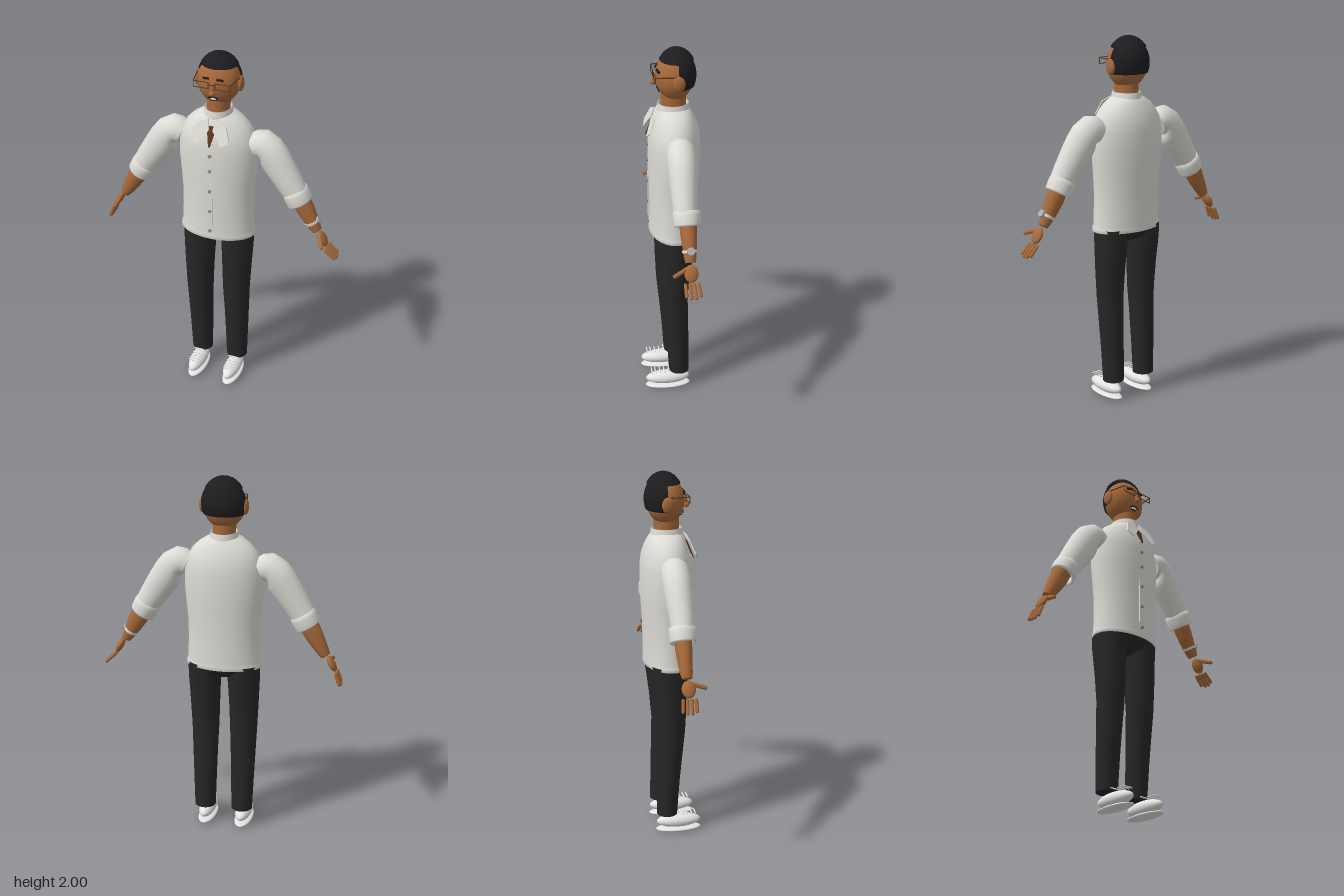
import * as THREE from 'three';

const mat = (name, color, side = THREE.FrontSide) => {
  const m = new THREE.MeshStandardMaterial({ color, side });
  m.name = name;
  return m;
};

export function createModel() {
  const shirt = mat('shirt white', 0xdddbd5, THREE.DoubleSide);
  const skin = mat('skin', 0xa5683a);
  const trousers = mat('trouser black', 0x262627);
  const hair = mat('hair black', 0x1d1d20, THREE.DoubleSide);
  const shoe = mat('shoe white', 0xe4e4e2);
  const frame = mat('glasses brown', 0x5a3418);
  const chest = mat('neck opening brown', 0x5c361c);
  const grey = mat('metal grey', 0xa9adb2);
  const button = mat('button grey', 0x8f8d88);
  const teeth = mat('teeth white', 0xf2efe8);

  const model = new THREE.Group();
  model.name = 'man';
  model.position.x = -0.016;

  const add = (name, geometry, material, x = 0, y = 0, z = 0, parent = model) => {
    const m = new THREE.Mesh(geometry, material);
    m.name = name;
    m.position.set(x, y, z);
    parent.add(m);
    return m;
  };
  const ball = (name, material, x, y, z, rx, ry, rz) => {
    const m = add(name, new THREE.SphereGeometry(1, 32, 20), material, x, y, z);
    m.scale.set(rx, ry, rz);
    return m;
  };
  const box = (name, material, x, y, z, w, h, d) => add(name, new THREE.BoxGeometry(w, h, d), material, x, y, z);

  // Rounded stick between two points
  const stick = (name, material, a, b, r) => {
    const p = new THREE.Vector3(...a), q = new THREE.Vector3(...b);
    const d = q.clone().sub(p);
    const m = add(name, new THREE.CapsuleGeometry(r, d.length(), 4, 10), material);
    m.position.copy(p).add(q).multiplyScalar(0.5);
    m.quaternion.setFromUnitVectors(new THREE.Vector3(0, 1, 0), d.normalize());
    return m;
  };

  // Skin over elliptical rings [x, y, z, radius in xy, radius in z, heading in degrees]
  function loft(rings, capStart, capEnd, seg = 36) {
    const list = rings.slice();
    const point = r => [r[0], r[1], r[2], 0, 0, r[5]];
    if (capStart) list.unshift(point(rings[0]), rings[0]);
    if (capEnd) list.push(rings.at(-1), point(rings.at(-1)));
    const pos = [], idx = [];
    list.forEach(([x, y, z, ru, rv, deg = 90], i) => {
      const a = deg * Math.PI / 180;
      for (let j = 0; j < seg; j++) {
        const t = j / seg * Math.PI * 2, u = ru * Math.cos(t);
        pos.push(x + Math.sin(a) * u, y - Math.cos(a) * u, z + rv * Math.sin(t));
        if (i < list.length - 1) {
          const p = i * seg + j, q = i * seg + (j + 1) % seg;
          idx.push(p, p + seg, q, q, p + seg, q + seg);
        }
      }
    });
    const g = new THREE.BufferGeometry();
    g.setAttribute('position', new THREE.Float32BufferAttribute(pos, 3));
    g.setIndex(idx);
    g.computeVertexNormals();
    return g;
  }
  const column = rows => rows.map(([y, z, rx, rz]) => [0, y, z, rx, rz, 90]);

  // Shirt body, collar band and neck
  add('shirtBody', loft(column([
    [0.965, -0.014, 0.2, 0.124], [0.965, -0.014, 0.208, 0.13], [0.985, -0.014, 0.206, 0.13],
    [1.0, -0.014, 0.2, 0.128], [1.1, -0.015, 0.196, 0.129], [1.2, -0.016, 0.196, 0.131],
    [1.3, -0.018, 0.204, 0.135], [1.4, -0.02, 0.213, 0.138], [1.5, -0.02, 0.211, 0.137],
    [1.56, -0.021, 0.198, 0.129], [1.61, -0.021, 0.172, 0.113], [1.645, -0.02, 0.138, 0.098],
    [1.67, -0.019, 0.1, 0.085], [1.685, -0.018, 0.065, 0.07]]), false, true, 48), shirt);
  add('collarBand', loft(column([[1.64, -0.017, 0.08, 0.088], [1.705, -0.017, 0.073, 0.083],
    [1.705, -0.017, 0.066, 0.076], [1.65, -0.017, 0.066, 0.076]]), false, false), shirt);
  add('neck', loft(column([[1.64, -0.017, 0.064, 0.07], [1.7, -0.017, 0.06, 0.066], [1.77, -0.018, 0.062, 0.066]]), true, true), skin);

  // Flat pieces that lean along the upper chest
  const chestPlate = (name, material, points, depth, offset) => {
    const g = new THREE.ExtrudeGeometry(new THREE.Shape(points.map(p => new THREE.Vector2(...p))), { depth, bevelEnabled: false });
    const p = g.attributes.position;
    for (let i = 0; i < p.count; i++) p.setZ(i, p.getZ(i) + offset + 0.07 + (1.685 - p.getY(i)) * 0.42);
    g.computeVertexNormals();
    add(name, g, material);
  };
  for (const s of [1, -1]) {
    chestPlate('collarFlap', shirt, [[0.02, 1.675], [0.08, 1.647], [0.105, 1.577], [0.065, 1.547], [0.01, 1.62]].map(([x, y]) => [s * x, y]), 0.007, 0);
  }
  chestPlate('neckOpening', chest, [[-0.027, 1.635], [0.027, 1.635], [0.004, 1.535], [-0.004, 1.535]], 0.005, -0.008);

  // Placket and buttons
  box('placket', shirt, 0, 1.18, 0.116, 0.03, 0.26, 0.008);
  box('topTab', shirt, 0, 1.545, 0.114, 0.03, 0.008, 0.008);
  for (const y of [1.476, 1.386, 1.265, 1.143, 1.02]) {
    add('button', new THREE.CylinderGeometry(0.009, 0.009, 0.008, 14).rotateX(Math.PI / 2), button, 0, y, 0.121);
  }

  // Hips
  ball('hips', trousers, 0, 1.0, -0.025, 0.19, 0.105, 0.115);

  for (const s of [1, -1]) {
    const side = s > 0 ? 'left' : 'right';
    const turn = deg => (s > 0 ? deg : 180 - deg);
    const limb = rows => rows.map(([x, y, z, ru, rv, d = 90]) => [s * x, y, z, ru, rv, turn(d)]);

    // Trouser leg
    add(side + 'TrouserLeg', loft(limb([
      [0.105, 0.107, -0.035, 0.058, 0.056], [0.106, 0.3, -0.027, 0.064, 0.061], [0.107, 0.45, -0.018, 0.069, 0.066],
      [0.107, 0.6, -0.009, 0.075, 0.072], [0.108, 0.75, -0.012, 0.081, 0.082], [0.108, 0.9, -0.02, 0.088, 0.094],
      [0.107, 0.98, -0.02, 0.09, 0.1]]).map(r => [...r.slice(0, 5), 90]), true, true), trousers);

    // Shoe with sole and laces
    const fx = s * 0.105;
    ball(side + 'ShoeUpper', shoe, fx, 0.058, 0.03, 0.045, 0.038, 0.123);
    ball(side + 'ShoeSole', shoe, fx, 0.013, 0.029, 0.049, 0.013, 0.126);
    for (const z of [0.025, 0.05, 0.075, 0.1, 0.12]) {
      const y = z < 0.03 ? 0.115 : 0.104;
      stick('shoelace', shoe, [fx - 0.026, y, z], [fx + 0.026, y, z], 0.004);
    }

    // Sleeve, rolled cuff and forearm
    add(side + 'Sleeve', loft(limb([
      [0.2, 1.512, -0.02, 0.066, 0.068, 25], [0.225, 1.523, -0.02, 0.074, 0.073, 14], [0.253, 1.519, -0.02, 0.084, 0.076, -6],
      [0.285, 1.488, -0.02, 0.088, 0.077, -32], [0.312, 1.45, -0.019, 0.086, 0.075, -46], [0.345, 1.4, -0.017, 0.081, 0.071, -54],
      [0.39, 1.332, -0.015, 0.074, 0.065, -56], [0.43, 1.27, -0.015, 0.067, 0.061, -57]]), true, true), shirt);
    add(side + 'Cuff', loft(limb([
      [0.421, 1.285, -0.02, 0.058, 0.056, -60], [0.419, 1.288, -0.02, 0.068, 0.068, -60], [0.43, 1.267, -0.02, 0.072, 0.072, -60],
      [0.451, 1.225, -0.02, 0.071, 0.07, -60], [0.455, 1.217, -0.02, 0.066, 0.064, -60], [0.452, 1.222, -0.02, 0.052, 0.05, -60],
      [0.435, 1.257, -0.02, 0.05, 0.048, -60]]), false, false), shirt);
    add(side + 'Forearm', loft(limb([
      [0.44, 1.26, -0.022, 0.05, 0.044, -57], [0.475, 1.195, -0.023, 0.051, 0.043, -57], [0.505, 1.142, -0.023, 0.044, 0.038, -57],
      [0.538, 1.085, -0.022, 0.033, 0.032, -57], [0.552, 1.062, -0.021, 0.026, 0.026, -57]]), true, true), skin);

    // Hand; each side is turned a little differently
    ball(side + 'Palm', skin, s * 0.586, 1.018, -0.02, 0.018, 0.045, 0.036).rotation.z = s * 0.5;
    const tip = s > 0 ? [0.664, 0.921] : [0.636, 0.908];
    for (let i = 0; i < 4; i++) {
      const z = -0.053 + i * 0.022, short = i === 0 || i === 3 ? 0.15 : 0;
      const end = [tip[0] - short * (tip[0] - 0.612), tip[1] + short * (0.97 - tip[1])];
      stick(side + 'Finger', skin, [s * 0.612, 0.97, z], [s * end[0], end[1], z * 1.1], 0.009);
    }
    stick(side + 'Thumb', skin, [s * 0.573, 1.04, 0.0], [s * (s > 0 ? 0.602 : 0.578), 1.018, 0.066], 0.011);

    // Ear, eyebrow and spectacle rim with its arm
    ball(side + 'Ear', skin, s * 0.115, 1.845, -0.03, 0.016, 0.042, 0.032);
    box(side + 'Eyebrow', hair, s * 0.038, 1.893, 0.068, 0.036, 0.011, 0.009).rotation.set(-0.3, s * 0.3, s * -0.08);
    const rim = new THREE.Shape([[-0.041, -0.018], [0.041, -0.018], [0.041, 0.018], [-0.041, 0.018]].map(p => new THREE.Vector2(...p)));
    rim.holes.push(new THREE.Path([[-0.038, -0.015], [-0.038, 0.015], [0.038, 0.015], [0.038, -0.015]].map(p => new THREE.Vector2(...p))));
    add(side + 'GlassesRim', new THREE.ExtrudeGeometry(rim, { depth: 0.004, bevelEnabled: false }), frame, s * 0.058, 1.864, 0.085);
    stick(side + 'GlassesArm', frame, [s * 0.099, 1.88, 0.086], [s * 0.117, 1.882, -0.035], 0.003);
  }

  // Watch on the left wrist
  const strap = add('watchStrap', new THREE.CylinderGeometry(0.041, 0.038, 0.014, 28), shirt, 0.524, 1.11, -0.022);
  strap.rotation.z = 0.575;
  const face = add('watchFace', new THREE.CylinderGeometry(0.02, 0.02, 0.012, 24), grey, 0.559, 1.132, -0.022);
  face.rotation.z = -1.0;

  // Head and face
  ball('head', skin, 0, 1.85, -0.023, 0.113, 0.125, 0.1);
  stick('noseBridge', skin, [0, 1.865, 0.075], [0, 1.828, 0.086], 0.009);
  ball('noseTip', skin, 0, 1.821, 0.088, 0.015, 0.014, 0.015);
  box('glassesBridge', frame, 0, 1.868, 0.087, 0.036, 0.004, 0.004);
  for (const s of [1, -1]) stick('moustache', hair, [s * 0.006, 1.793, 0.068], [s * 0.026, 1.786, 0.064], 0.004);
  box('teeth', teeth, 0, 1.782, 0.063, 0.028, 0.008, 0.009);
  stick('lowerLip', hair, [-0.014, 1.773, 0.059], [0.014, 1.773, 0.059], 0.004);

  // Hair: a roughened crown and a smooth back
  const crown = new THREE.SphereGeometry(1, 48, 20, 0, Math.PI * 2, 0, 1.0);
  const p = crown.attributes.position;
  for (let i = 0; i < p.count; i++) {
    const x = p.getX(i), y = p.getY(i), z = p.getZ(i);
    const k = 1 + 0.012 * Math.sin(x * 31 + z * 9) * Math.sin(z * 33 - x * 7);
    p.setXYZ(i, x * k, y * k, z * k);
  }
  crown.computeVertexNormals();
  add('hairCrown', crown, hair, 0, 1.87, -0.033).scale.set(0.115, 0.13, 0.104);
  add('hairBack', new THREE.SphereGeometry(1, 32, 16, Math.PI, Math.PI, 0.85, 1.13), hair, 0, 1.858, -0.03).scale.set(0.119, 0.132, 0.105);

  const root = new THREE.Group();
  root.name = 'figure';
  root.add(model);
  return root;
}
